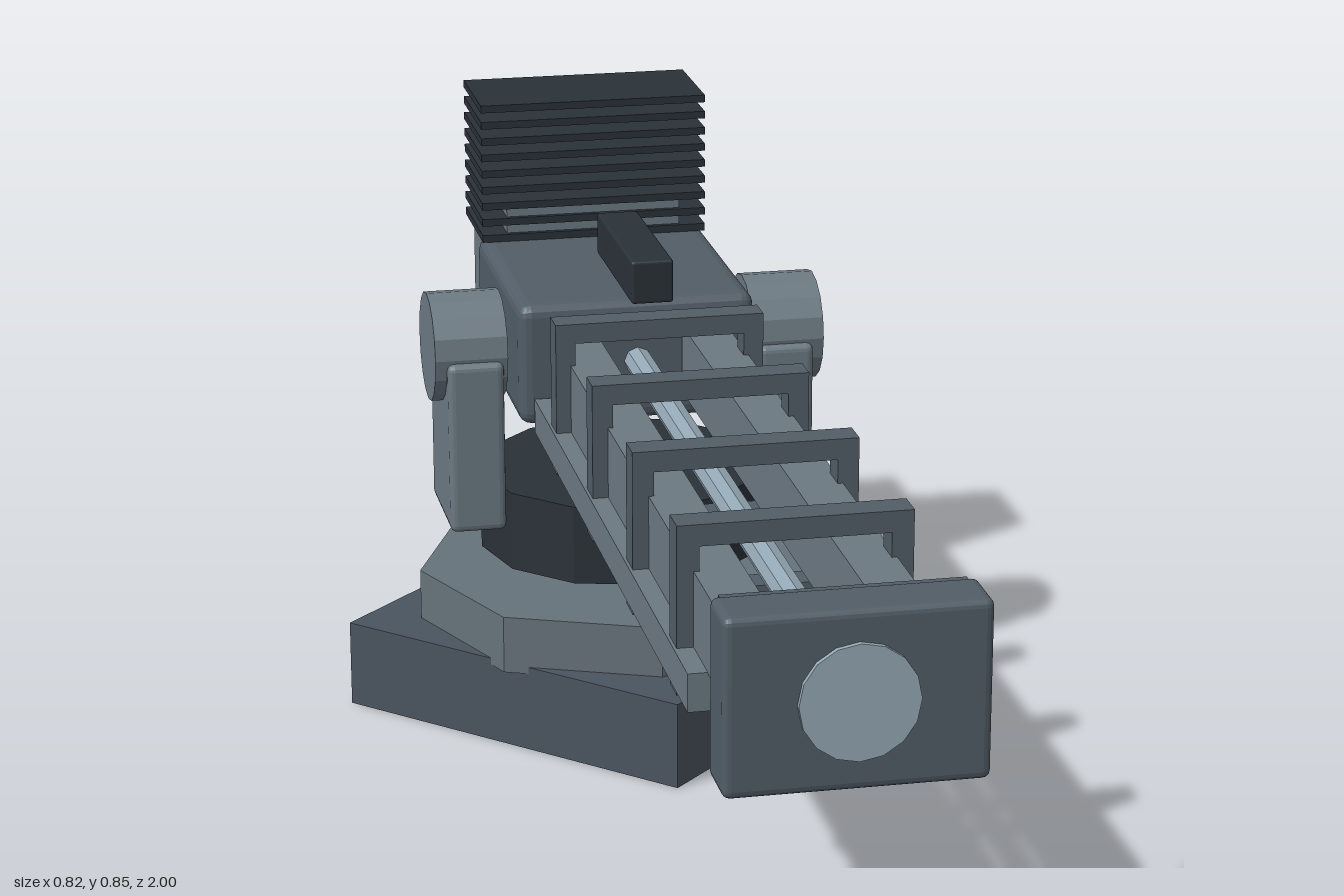
import * as THREE from 'three';
import { RoundedBoxGeometry } from 'three/addons/geometries/RoundedBoxGeometry.js';

const PIVOT_Z = -0.457; // vertical slewing axis
const BORE_Y = 0.55; // height of the barrel axis

const paint = (color) => new THREE.MeshStandardMaterial({ color, flatShading: true });
const mats = {
  base: paint(0x4a545f),
  plate: paint(0x66727b),
  dark: paint(0x2a3138),
  body: paint(0x515d67),
  light: paint(0x6b7982),
  glow: paint(0x94a8b5),
};

export function createModel() {
  const model = new THREE.Group();
  model.name = 'railTurret';

  const add = (name, geometry, mat, x, y, z) => {
    const mesh = new THREE.Mesh(geometry, mats[mat]);
    mesh.name = name;
    mesh.position.set(x, y, z);
    model.add(mesh);
    return mesh;
  };

  // Box given by its extents; a radius rounds the edges
  const box = (name, mat, [x0, x1], [y0, y1], [z0, z1], radius = 0) => {
    const size = [x1 - x0, y1 - y0, z1 - z0];
    const geometry = radius
      ? new RoundedBoxGeometry(...size, 2, radius)
      : new THREE.BoxGeometry(...size);
    return add(name, geometry, mat, (x0 + x1) / 2, (y0 + y1) / 2, (z0 + z1) / 2);
  };

  // Upright faceted drum from y0 to y1 on the slewing axis
  const drum = (name, mat, radius, y0, y1, sides) =>
    add(name, new THREE.CylinderGeometry(radius, radius, y1 - y0, sides), mat, 0, (y0 + y1) / 2, PIVOT_Z);

  // Pedestal
  drum('base', 'base', 0.412, 0, 0.128, 4);
  drum('basePlate', 'plate', 0.305, 0.118, 0.203, 8);
  drum('turntable', 'dark', 0.212, 0.235, 0.352, 12);

  // Yoke arms, trunnions and rails, mirrored
  for (const [side, s] of [['left', 1], ['right', -1]]) {
    const span = (a, b) => (s > 0 ? [a, b] : [-b, -a]);
    box(`${side}YokeArm`, 'light', span(0.188, 0.27), [0.29, 0.545], [PIVOT_Z - 0.091, PIVOT_Z + 0.091], 0.01);
    const trunnion = add(`${side}Trunnion`, new THREE.CylinderGeometry(0.08, 0.08, 0.106, 16),
      'light', s * 0.234, BORE_Y, PIVOT_Z);
    trunnion.rotation.z = Math.PI / 2;
    box(`${side}Rail`, 'light', span(0.064, 0.127), [0.5, 0.6], [-0.325, 0.925]);
    box(`${side}LowerRail`, 'light', span(0.1, 0.152), [0.452, 0.502], [-0.325, 0.755]);
  }

  // Receiver and rear power unit
  box('receiver', 'body', [-0.172, 0.172], [0.46, 0.64], [-0.712, -0.328], 0.018);
  box('powerUnit', 'light', [-0.132, 0.132], [0.412, 0.69], [-1, -0.675]);
  box('sight', 'dark', [-0.03, 0.03], [0.668, 0.73], [-0.482, -0.217], 0.004);

  // Cooling fins
  for (let i = 0; i < 9; i++) {
    const y = 0.646 + i * 0.0249;
    box(`coolingFin${i + 1}`, 'dark', [-0.17, 0.17], [y - 0.0055, y + 0.0055], [-0.833, -0.667]);
  }

  // Conductor between the rails
  const conductor = add('conductor', new THREE.CylinderGeometry(0.02, 0.02, 1.26, 8), 'glow', 0, BORE_Y, 0.3);
  conductor.rotation.x = Math.PI / 2;

  // Square clamps around the rails
  const rect = (path, w, h) =>
    path.moveTo(-w, -h).lineTo(w, -h).lineTo(w, h).lineTo(-w, h).closePath();
  const outline = rect(new THREE.Shape(), 0.148, 0.11);
  outline.holes.push(rect(new THREE.Path(), 0.12, 0.082));
  const clamp = new THREE.ExtrudeGeometry(outline, { depth: 0.042, bevelEnabled: false });
  clamp.translate(0, 0, -0.021);
  for (let i = 0; i < 5; i++) {
    add(`railClamp${i + 1}`, clamp, 'body', 0, BORE_Y, -0.187 + i * 0.279);
  }

  // Muzzle block with round bore face
  box('muzzle', 'body', [-0.16, 0.16], [0.438, 0.662], [0.913, 0.993], 0.01);
  const bore = add('boreFace', new THREE.CylinderGeometry(0.073, 0.073, 0.02, 16), 'glow', 0, BORE_Y, 0.99);
  bore.rotation.x = Math.PI / 2;

  return model;
}
